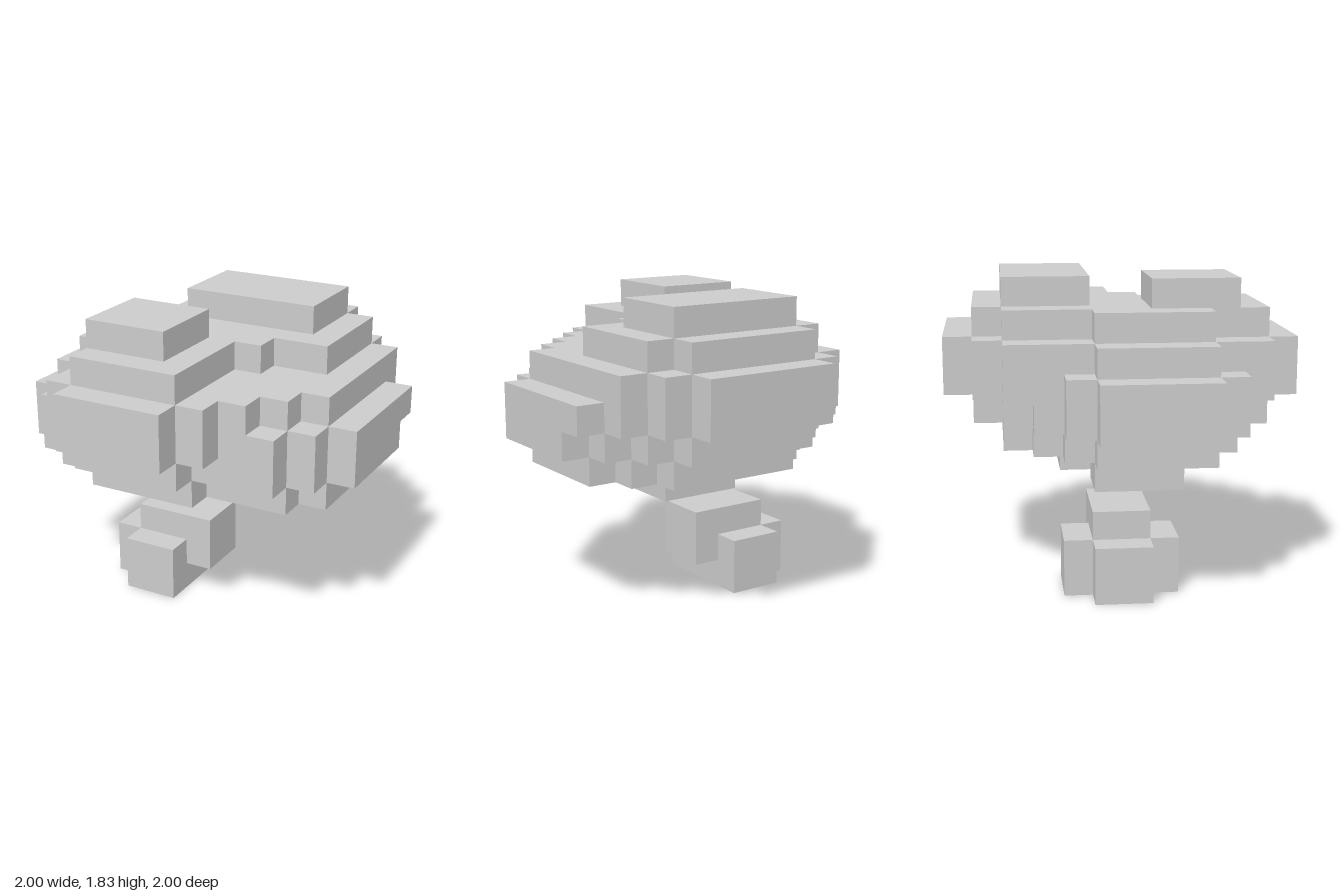
import * as THREE from 'three';

const U = 1 / 6; // size of one block
const material = new THREE.MeshStandardMaterial({ color: 0xcccccc, flatShading: true });

// Slab with a stepped outline. Rows run back to front: [zEnd, xMin, xMax].
function slab(name, y0, y1, zStart, rows) {
  const left = [], right = [];
  let z = zStart;
  for (const [zEnd, xMin, xMax] of rows) {
    left.push([xMin, z], [xMin, zEnd]);
    right.push([xMax, z], [xMax, zEnd]);
    z = zEnd;
  }
  const outline = [...left, ...right.reverse()]
    .filter((p, i, all) => i === 0 || p[0] !== all[i - 1][0] || p[1] !== all[i - 1][1])
    .map(([x, pz]) => new THREE.Vector2(x * U, -pz * U));
  const geometry = new THREE.ExtrudeGeometry(new THREE.Shape(outline), {
    depth: (y1 - y0) * U,
    bevelEnabled: false,
  });
  geometry.rotateX(-Math.PI / 2);
  geometry.translate(0, y0 * U, 0);
  const mesh = new THREE.Mesh(geometry, material);
  mesh.name = name;
  return mesh;
}

// Box between two block corners
function block(name, [x0, y0, z0], [x1, y1, z1]) {
  const mesh = new THREE.Mesh(
    new THREE.BoxGeometry((x1 - x0) * U, (y1 - y0) * U, (z1 - z0) * U), material);
  mesh.position.set((x0 + x1) * U / 2, (y0 + y1) * U / 2, (z0 + z1) * U / 2);
  mesh.name = name;
  return mesh;
}

export function createModel() {
  const model = new THREE.Group();
  model.name = 'blockCloud';

  // Large cloud, stacked from the bottom up
  const cloud = new THREE.Group();
  cloud.name = 'cloud';
  cloud.add(
    block('undersideBumpRight', [-4, 4, -1], [-2, 5, 2]),
    block('undersideBumpLeft', [-1, 4, -2], [2, 5, 1]),
    slab('cloudBase', 5, 6, -4, [
      [-3, -2, 3], [-2, -3, 4], [-1, -4, 5], [2, -5, 5], [3, -5, 4], [4, -3, 1],
    ]),
    slab('cloudLowerMiddle', 6, 7, -5, [
      [-4, -2, 3], [-3, -3, 4], [-2, -4, 5], [-1, -5, 6], [2, -6, 6],
      [3, -6, 5], [4, -5, 4], [5, -3, 1],
    ]),
    slab('cloudMiddle', 7, 8, -6, [
      [-5, -2, 3], [-4, -3, 4], [-3, -4, 5], [-2, -4, 6], [-1, -5, 6],
      [2, -6, 6], [3, -6, 5], [4, -5, 4], [5, -4, 2], [6, -3, 1],
    ]),
    slab('cloudUpperMiddle', 8, 9, -6, [
      [-5, -2, 3], [-4, -3, 4], [-1, -4, 5], [2, -5, 5], [3, -5, 4],
      [4, -4, 3], [5, -4, 2], [6, -3, 1],
    ]),
    slab('cloudTop', 9, 10, -5, [
      [-4, -2, 3], [-1, -3, 4], [0, -4, 4], [1, -4, 2], [3, -4, 1], [5, -3, 1],
    ]),
    block('frontTopBump', [-3, 10, 1], [0, 11, 4]),
    block('backTopBump', [-2, 10, -4], [3, 11, -1]),
  );

  // Small puff floating underneath
  const puff = new THREE.Group();
  puff.name = 'smallPuff';
  puff.add(
    slab('puffBase', 0, 2, -2, [[-1, -3, -1], [1, -4, -1], [2, -3, -1]]),
    block('puffTop', [-3, 1, -1], [0, 3, 1]),
  );

  model.add(cloud, puff);
  return model;
}
